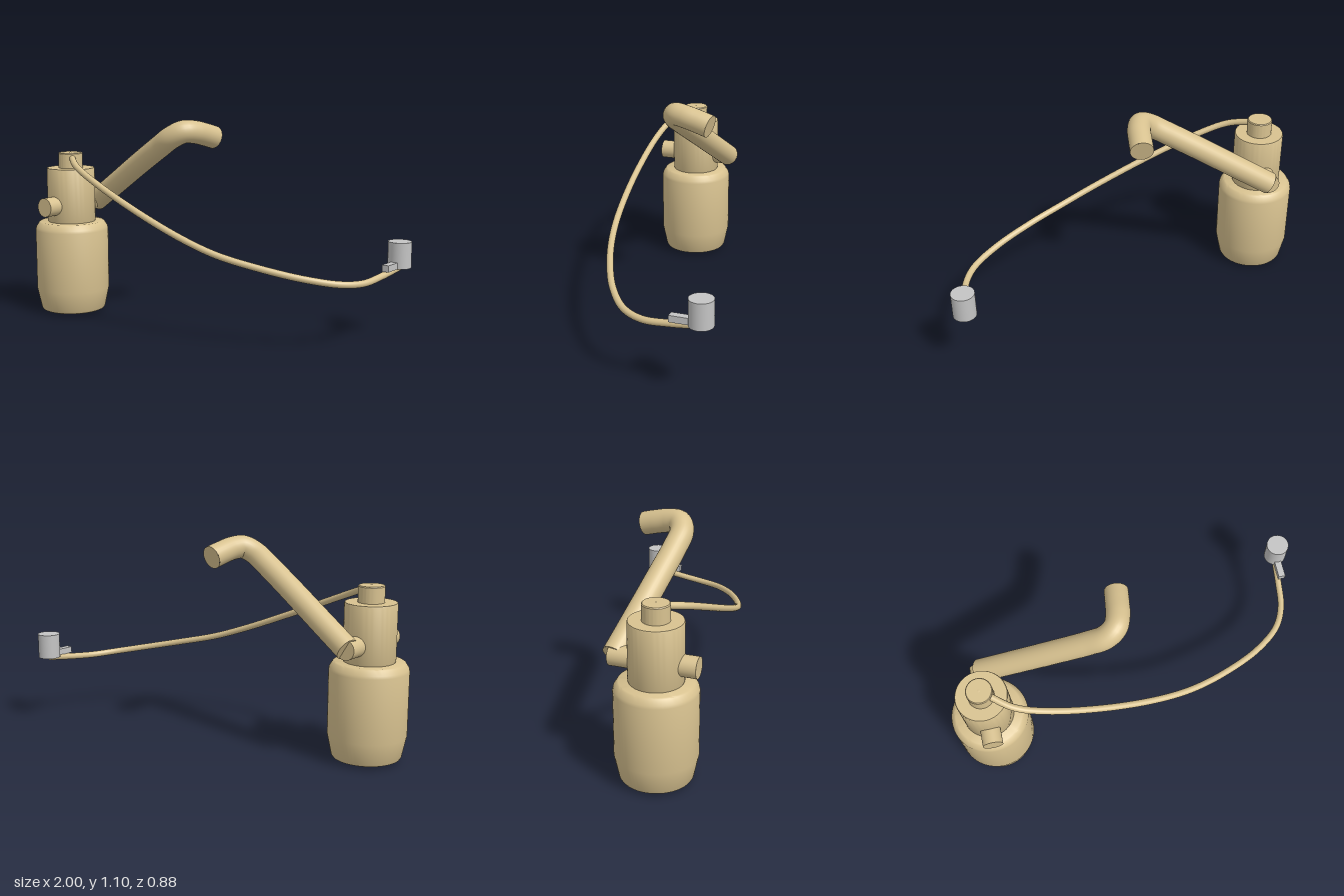
import * as THREE from 'three';
import { toCreasedNormals } from 'three/addons/utils/BufferGeometryUtils.js';

const tan = new THREE.MeshStandardMaterial({ color: 0xd8c290 });
tan.name = 'tan';
const grey = new THREE.MeshStandardMaterial({ color: 0xc4c4c4 });
grey.name = 'light grey';

const AXIS_X = -0.797, AXIS_Z = 0.235;

export function createModel() {
  const model = new THREE.Group();
  model.name = 'canisterWithPipes';

  const add = (name, geometry, material, x = 0, y = 0, z = 0) => {
    const mesh = new THREE.Mesh(geometry, material);
    mesh.name = name;
    mesh.position.set(x, y, z);
    model.add(mesh);
    return mesh;
  };

  // Turned part on the canister axis, from [radius, y] pairs listed bottom to top
  const turned = (name, profile) => {
    const points = profile.map(([r, y]) => new THREE.Vector2(r, y));
    const geometry = toCreasedNormals(new THREE.LatheGeometry(points, 64), 0.6);
    return add(name, geometry, tan, AXIS_X, 0, AXIS_Z);
  };

  // Round pipe through the points, closed by a flat disc at each end
  const pipe = (name, path, radius, segments) => {
    const curve = new THREE.CatmullRomCurve3(path.map(p => new THREE.Vector3(...p)));
    add(name, new THREE.TubeGeometry(curve, segments, radius, 28), tan);
    for (const t of [0, 1]) {
      const end = curve.getPointAt(t);
      const outward = curve.getTangentAt(t).multiplyScalar(t ? 1 : -1);
      const disc = add(name + (t ? 'EndCap' : 'StartCap'), new THREE.CircleGeometry(radius, 28), tan, ...end.toArray());
      disc.lookAt(end.clone().add(outward));
    }
  };

  // Canister, neck and top cap
  turned('canister', [[0, 0.004], [0.165, 0.016], [0.174, 0.02], [0.18, 0.03], [0.203, 0.14],
    [0.203, 0.475], [0.199, 0.49], [0.183, 0.515], [0.175, 0.52], [0, 0.52]]);
  turned('neck', [[0.128, 0.515], [0.133, 0.525], [0.133, 0.812], [0.13, 0.82], [0, 0.82]]);
  turned('cap', [[0.067, 0.815], [0.067, 0.9], [0.063, 0.905], [0.008, 0.905], [0, 0.909]]);

  // Port running through the neck, front to back
  const port = new THREE.CylinderGeometry(0.052, 0.052, 0.43, 40);
  port.rotateX(Math.PI / 2);
  add('crossPort', port, tan, AXIS_X, 0.615, 0.225);

  // Thick pipe with an elbow near its end
  pipe('thickPipe', [[-0.797, 0.615, 0.03], [-0.6, 0.735, 0.065], [-0.4, 0.858, 0.1], [-0.23, 0.96, 0.127],
    [-0.14, 1.015, 0.134], [-0.085, 1.045, 0.105], [-0.06, 1.042, 0.045], [-0.048, 1.025, -0.03],
    [-0.039, 1.006, -0.098]], 0.061, 80);

  // Thin hose from the cap to the sensor
  pipe('thinHose', [[-0.76, 0.88, 0.26], [-0.65, 0.845, 0.335], [-0.5, 0.785, 0.37], [-0.2, 0.66, 0.382],
    [0.1, 0.54, 0.36], [0.3, 0.47, 0.32], [0.5, 0.42, 0.25], [0.7, 0.375, 0.15], [0.84, 0.347, 0.035],
    [0.9, 0.34, -0.08], [0.921, 0.353, -0.22], [0.935, 0.375, -0.38]], 0.0175, 140);

  // Grey sensor and its bracket
  add('sensor', new THREE.CylinderGeometry(0.06, 0.06, 0.134, 48), grey, 0.938, 0.444, -0.38);
  add('sensorBracket', new THREE.BoxGeometry(0.037, 0.034, 0.15), grey, 0.938, 0.394, -0.305);

  return model;
}
